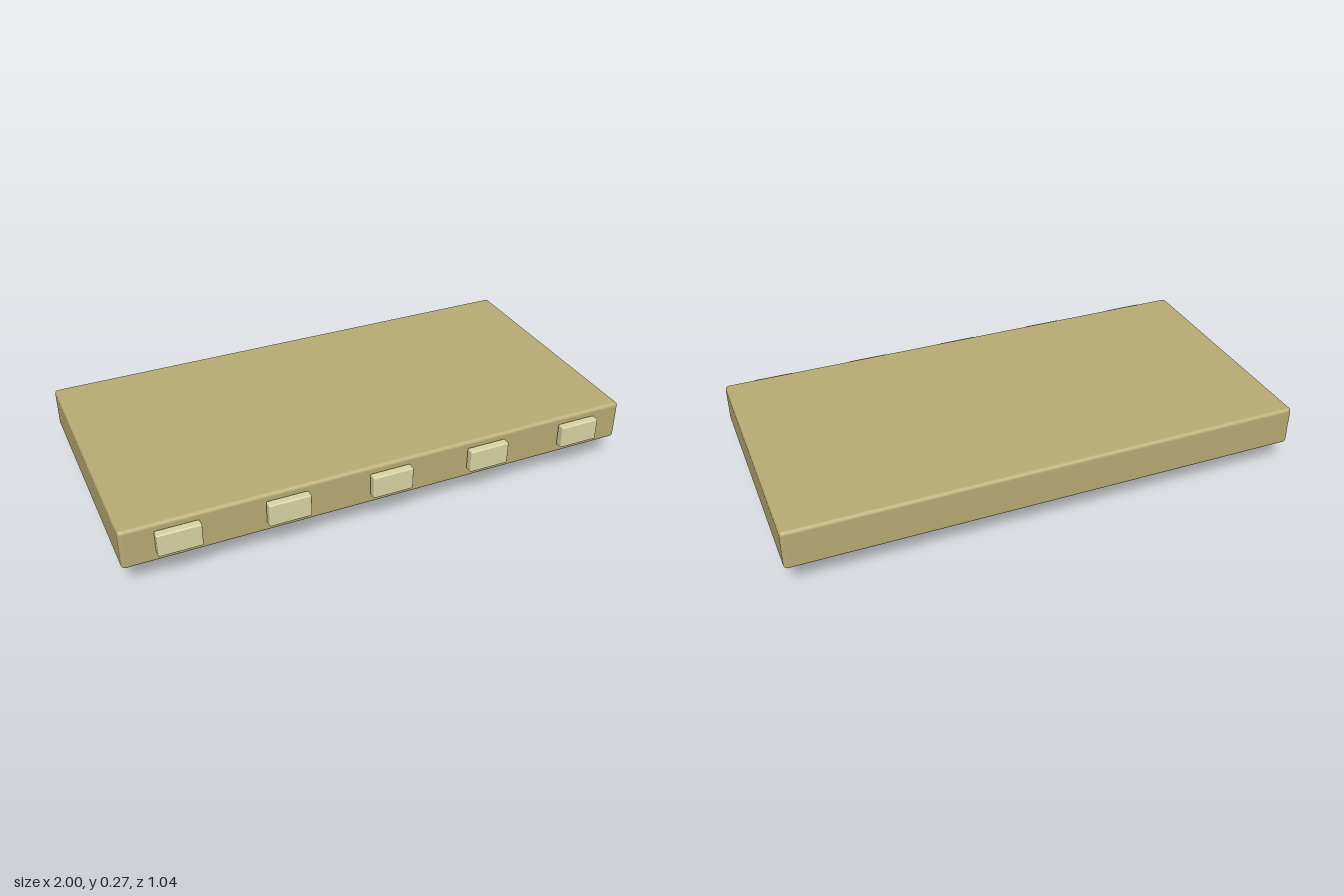
import * as THREE from 'three';
import { RoundedBoxGeometry } from 'three/addons/geometries/RoundedBoxGeometry.js';

export function createModel() {
  const model = new THREE.Group();
  model.name = 'slabOnBeam';

  const slabMaterial = new THREE.MeshStandardMaterial({ color: 0xb8ab74 });
  const beamMaterial = new THREE.MeshStandardMaterial({ color: 0xe0bc48 });
  const tabMaterial = new THREE.MeshStandardMaterial({ color: 0xd9d5a6 });

  function addBlock(name, size, position, radius, material) {
    const mesh = new THREE.Mesh(new RoundedBoxGeometry(...size, 4, radius), material);
    mesh.name = name;
    mesh.position.set(...position);
    model.add(mesh);
  }

  // Wide flat slab
  addBlock('slab', [2, 0.158, 1], [0, 0.193, -0.018], 0.014, slabMaterial);

  // Rounded beam running lengthwise below the slab
  addBlock('beam', [1.9, 0.1, 0.25], [0, 0.05, -0.018], 0.026, beamMaterial);

  // Row of small tabs along the front edge
  for (let i = -2; i <= 2; i++) {
    addBlock('frontTab', [0.16, 0.09, 0.033], [i * 0.4, 0.203, 0.502], 0.005, tabMaterial);
  }

  return model;
}
